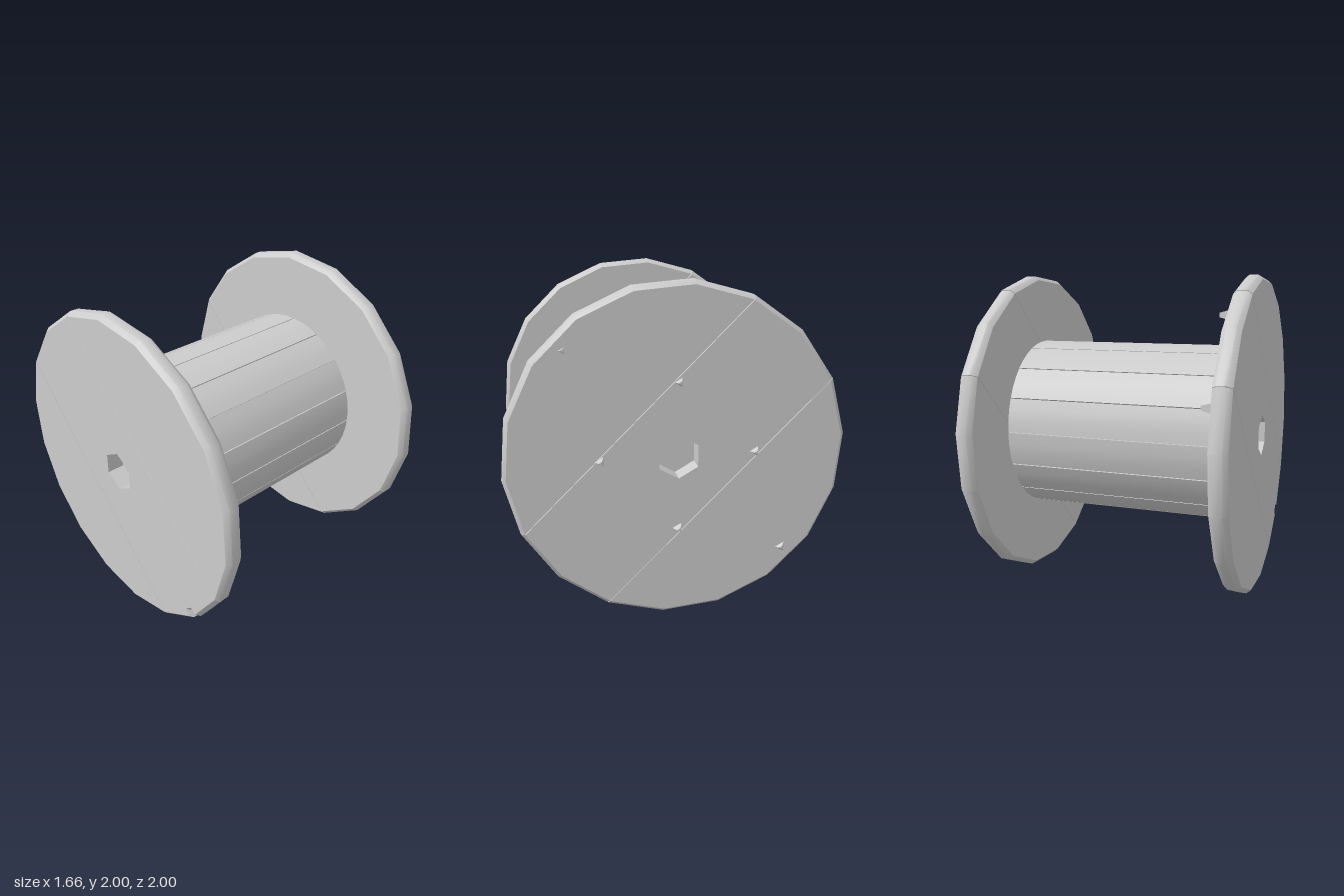
import * as THREE from 'three';
import { toCreasedNormals } from 'three/addons/utils/BufferGeometryUtils.js';

const deg = Math.PI / 180;
const mat = new THREE.MeshStandardMaterial({ color: 0xcccccc, side: THREE.DoubleSide });
const polar = (angle, r = 1) => new THREE.Vector2(r * Math.cos(angle * deg), r * Math.sin(angle * deg));
const arc = (from, to, r, n) =>
  Array.from({ length: n + 1 }, (_, i) => polar(from + (to - from) * i / n, r));

function addMesh(parent, name, geometry) {
  const mesh = new THREE.Mesh(geometry, mat);
  mesh.name = name;
  parent.add(mesh);
  return mesh;
}

// Extrude a cross-section along +x, with its horizontal axis running along -z
function extrudeX(points, depth, hole, steps = 1) {
  const shape = new THREE.Shape(points);
  if (hole) shape.holes.push(new THREE.Path(hole));
  return new THREE.ExtrudeGeometry(shape, { depth, steps, bevelEnabled: false }).rotateY(Math.PI / 2);
}

// Round off the rim and lean the board very slightly
function wearBoard(geometry, depth) {
  const p = geometry.attributes.position;
  for (let i = 0; i < p.count; i++) {
    const x = p.getX(i), y = p.getY(i), z = p.getZ(i);
    const atFace = x < 0.001 || x > depth - 0.001;
    const s = atFace && Math.hypot(y, z) > 0.9 ? 0.975 : 1;
    p.setXYZ(i, x + 0.008 * y, y * s, z * s);
  }
  return toCreasedNormals(geometry, 0.75);
}

// Round end made of three diagonal boards, with a six-sided axle hole
function makeFlange(name, x, notched) {
  const flange = new THREE.Group();
  flange.name = name;
  flange.position.set(x, 1, 0);
  const depth = 0.112, tilt = 45, gap = 0.004;
  const across = polar(tilt + 90, gap);

  const upper = arc(tilt + 20, tilt + 160, 1, 7).map(p => p.add(across));
  const lower = arc(tilt + 200, tilt + 340, 1, 7).map(p => p.sub(across));
  const notch = notched
    ? [polar(tilt + 160), polar(tilt + 178), polar(tilt + 178.5, 0.95), polar(tilt + 182.5, 0.95),
      polar(tilt + 183), polar(tilt + 200)]
    : arc(tilt + 160, tilt + 200, 1, 2);
  const middle = [...arc(tilt - 20, tilt + 20, 1, 2), ...notch];
  const hole = arc(30, 330, 0.13, 5);

  addMesh(flange, 'upperBoard', wearBoard(extrudeX(upper, depth, null, 4), depth));
  addMesh(flange, 'middleBoard', wearBoard(extrudeX(middle, depth, hole, 4), depth));
  addMesh(flange, 'lowerBoard', wearBoard(extrudeX(lower, depth, null, 4), depth));
  return flange;
}

// Small three-sided bolt end pointing along +x
function addBolt(parent, x, y, z, height) {
  const geometry = new THREE.CylinderGeometry(0.014, 0.036, height, 3).toNonIndexed();
  geometry.computeVertexNormals();
  const bolt = addMesh(parent, 'bolt', geometry);
  bolt.rotation.z = -Math.PI / 2;
  bolt.position.set(x + height / 2 - 0.005, y, z);
}

export function createModel() {
  const spool = new THREE.Group();
  spool.name = 'cableSpool';

  spool.add(makeFlange('leftFlange', 0.682, false));
  spool.add(makeFlange('rightFlange', -0.825, true));

  // Drum of sixteen long staves around a closed core
  const drum = new THREE.Group();
  drum.name = 'drum';
  drum.position.set(-0.72, 1.01, -0.01);
  spool.add(drum);
  const count = 16, half = 180 / count - 0.3;
  const section = [...arc(-half, half, 0.555, 3), ...arc(half, -half, 0.5, 3)];
  const staveGeometry = toCreasedNormals(extrudeX(section, 1.41), 0.6);
  for (let i = 0; i < count; i++) {
    const stave = addMesh(drum, 'stave', staveGeometry);
    stave.rotation.x = (1.5 + (i + 0.5) * 360 / count) * deg;
  }
  const core = addMesh(drum, 'core', new THREE.CylinderGeometry(0.535, 0.535, 1.4, 32));
  core.rotation.z = Math.PI / 2;
  core.position.x = 0.705;

  // Bolt ends: outer face of the left flange, then inner face of the right one
  [[1.44, 0], [1.0, 0.45], [1.01, -0.45], [0.56, 0]].forEach(([y, z]) => addBolt(spool, 0.794, y, z, 0.035));
  [[1.64, 0.64], [0.38, -0.64]].forEach(([y, z]) => addBolt(spool, 0.794, y, z, 0.015));
  [[1.77, -0.48], [1.3, -0.87]].forEach(([y, z]) => addBolt(spool, -0.712, y, z, 0.07));

  return spool;
}
